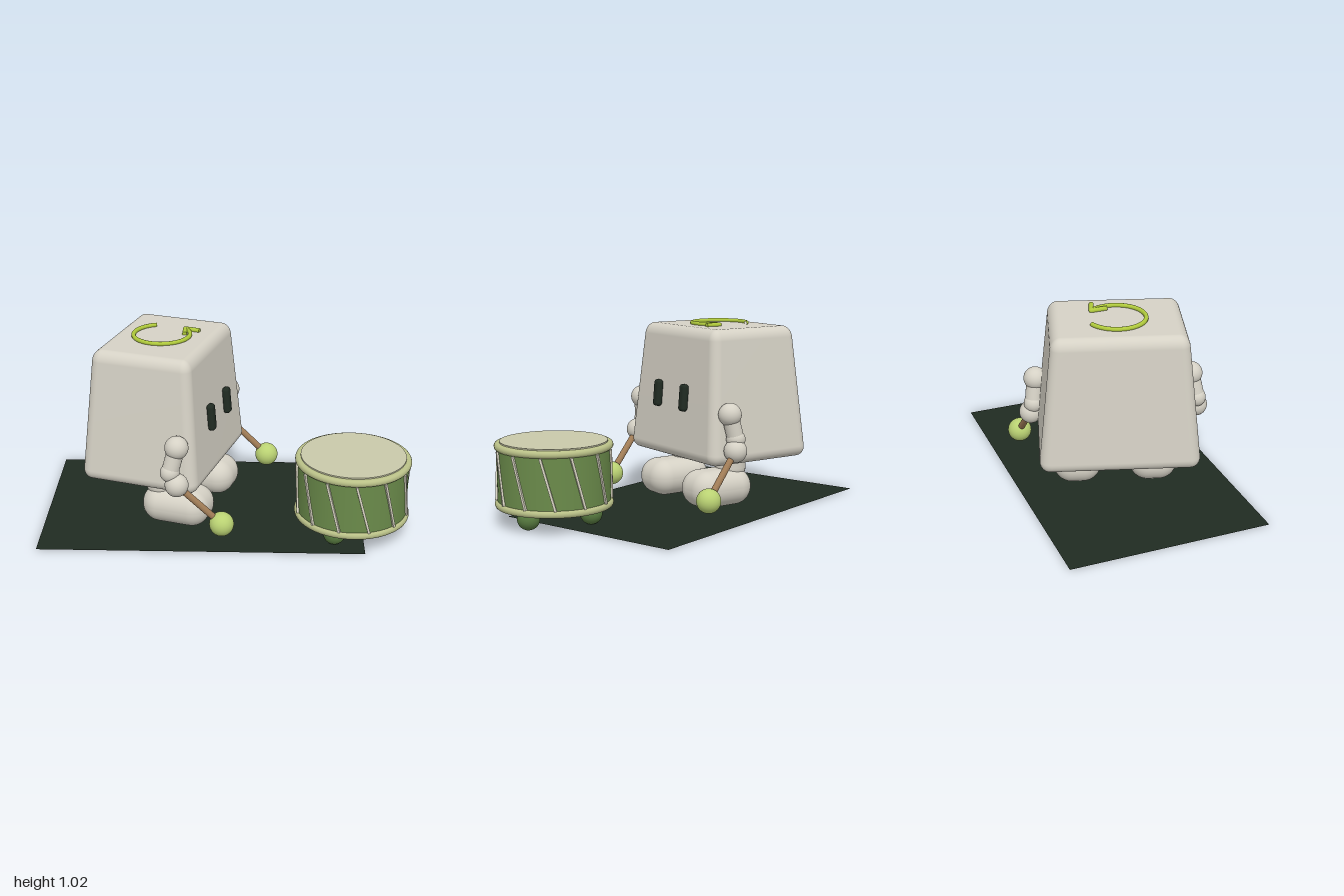
import * as THREE from 'three';
import { mergeVertices } from 'three/addons/utils/BufferGeometryUtils.js';
import { RoundedBoxGeometry } from 'three/addons/geometries/RoundedBoxGeometry.js';

const material = (name, color, side = THREE.FrontSide) => {
  const m = new THREE.MeshStandardMaterial({ color, side });
  m.name = name;
  return m;
};

const V = (x, y, z) => new THREE.Vector3(x, y, z);

export function createModel() {
  const shellWhite = material('warm white', 0xd5d1c5);
  const dark = material('dark green', 0x202b22, THREE.DoubleSide);
  const lime = material('lime', 0xb0ca3c);
  const ballGreen = material('pale lime', 0xbad273);
  const wood = material('wood', 0xa07c56);
  const drumGreen = material('drum green', 0x6a8a4a);
  const footGreen = material('foot green', 0x587b40);
  const rimTan = material('rim olive', 0xbac188);
  const skinPale = material('drum skin', 0xc9c9aa);
  const lacePale = material('lace cream', 0xd8d4c2);

  const model = new THREE.Group();
  model.name = 'drummingRobot';

  const add = (parent, name, geometry, mat, x = 0, y = 0, z = 0) => {
    const mesh = new THREE.Mesh(geometry, mat);
    mesh.name = name;
    mesh.position.set(x, y, z);
    parent.add(mesh);
    return mesh;
  };
  const ball = (parent, name, r, mat, p) =>
    add(parent, name, new THREE.SphereGeometry(r, 32, 20), mat, p.x, p.y, p.z);
  // Straight rod between two points
  const rod = (parent, name, a, b, r, mat) => {
    const d = b.clone().sub(a);
    const mesh = add(parent, name, new THREE.CylinderGeometry(r, r, d.length(), 24), mat);
    mesh.position.copy(a).add(b).multiplyScalar(0.5);
    mesh.quaternion.setFromUnitVectors(V(0, 1, 0), d.normalize());
    return mesh;
  };

  // Ground sheet
  add(model, 'groundSheet', new THREE.PlaneGeometry(1.75, 1.1).rotateX(-Math.PI / 2), dark, -0.125, 0.002, -0.015);

  // Robot, turned towards the drum
  const robot = new THREE.Group();
  robot.name = 'robot';
  robot.position.set(-0.345, 0, -0.058);
  robot.rotation.y = THREE.MathUtils.degToRad(72.4);
  model.add(robot);

  // Tapered rounded body
  const W = 0.84, D = 0.67, H = 0.73;
  let bodyGeo = new RoundedBoxGeometry(W, H, D, 6, 0.06);
  const pos = bodyGeo.attributes.position;
  for (let i = 0; i < pos.count; i++) {
    const t = pos.getY(i) / H + 0.5;
    pos.setX(i, pos.getX(i) * (1 - 0.178 * t));
    pos.setZ(i, pos.getZ(i) * (1 - 0.178 * t));
  }
  bodyGeo.deleteAttribute('normal');
  bodyGeo.deleteAttribute('uv');
  bodyGeo.clearGroups();
  bodyGeo = mergeVertices(bodyGeo, 1e-5);
  bodyGeo.computeVertexNormals();
  add(robot, 'body', bodyGeo, shellWhite, 0, 0.27 + H / 2, 0);

  // Eyes, legs and feet, one each side
  for (const s of [-1, 1]) {
    const side = s < 0 ? 'right' : 'left';
    const eye = add(robot, side + 'Eye', new RoundedBoxGeometry(0.055, 0.15, 0.04, 4, 0.018), dark, s * 0.125, 0.618, 0.322);
    eye.rotation.x = -0.082;
    add(robot, side + 'Leg', new THREE.CapsuleGeometry(0.086, 0.1, 10, 28), shellWhite, s * 0.207, 0.27, 0.06);
    add(robot, side + 'Foot', new RoundedBoxGeometry(0.26, 0.206, 0.38, 8, 0.1), shellWhite, s * 0.207, 0.115, 0.155);
  }

  // Circular arrow on the roof
  const arrow = new THREE.Group();
  arrow.name = 'roofArrow';
  arrow.position.set(-0.353, 1.007, -0.064);
  model.add(arrow);
  const start = THREE.MathUtils.degToRad(-36), sweep = THREE.MathUtils.degToRad(291);
  add(arrow, 'arrowRing', new THREE.TorusGeometry(0.153, 0.012, 12, 64, sweep).rotateZ(start).rotateX(Math.PI / 2), lime);
  const tip = V(0.123, 0, -0.09);
  rod(arrow, 'arrowBarb', tip, V(0.123, 0, -0.005), 0.013, lime);
  rod(arrow, 'arrowBarb', tip, V(0.202, 0, -0.06), 0.013, lime);
  ball(arrow, 'arrowTip', 0.013, lime, tip);

  // Arms with drumsticks
  const arms = {
    right: [V(-0.249, 0.555, 0.42), V(-0.285, 0.42, 0.44), V(-0.249, 0.355, 0.455), V(-0.013, 0.128, 0.455)],
    left: [V(0.0, 0.555, -0.393), V(-0.025, 0.42, -0.415), V(-0.008, 0.36, -0.425), V(0.225, 0.128, -0.42)],
  };
  for (const [side, [shoulder, elbow, hand, tipBall]] of Object.entries(arms)) {
    const arm = new THREE.Group();
    arm.name = side + 'Arm';
    model.add(arm);
    ball(arm, 'shoulder', 0.063, shellWhite, shoulder);
    rod(arm, 'upperArm', shoulder, elbow, 0.046, shellWhite);
    ball(arm, 'elbow', 0.052, shellWhite, elbow);
    ball(arm, 'hand', 0.063, shellWhite, hand);
    rod(arm, 'drumstick', hand, tipBall, 0.018, wood);
    ball(arm, 'drumstickTip', 0.066, ballGreen, tipBall);
  }

  // Drum
  const drum = new THREE.Group();
  drum.name = 'drum';
  drum.position.set(0.688, 0, 0.247);
  model.add(drum);
  add(drum, 'drumShell', new THREE.CylinderGeometry(0.298, 0.298, 0.3, 64), drumGreen, 0, 0.265, 0);

  // Rims: solid discs with a rounded edge
  const edge = [];
  for (let i = 0; i <= 8; i++) {
    const a = -Math.PI / 2 + (i / 8) * Math.PI;
    edge.push(new THREE.Vector2(0.296 + 0.016 * Math.cos(a), 0.019 * Math.sin(a)));
  }
  const rimProfile = [new THREE.Vector2(0, -0.019), new THREE.Vector2(0.29, -0.019), ...edge,
    new THREE.Vector2(0.29, 0.019), new THREE.Vector2(0, 0.019)];
  for (const [name, y] of [['bottomRim', 0.114], ['topRim', 0.421]])
    add(drum, name, new THREE.LatheGeometry(rimProfile, 64), rimTan, 0, y, 0);
  add(drum, 'drumSkin', new THREE.CylinderGeometry(0.283, 0.283, 0.012, 64), skinPale, 0, 0.441, 0);

  // Slanted laces around the shell
  for (let i = 0; i < 12; i++) {
    const pivot = new THREE.Group();
    pivot.name = 'lacePivot';
    pivot.rotation.y = THREE.MathUtils.degToRad(i * 30 + 7.2);
    drum.add(pivot);
    add(pivot, 'lace', new THREE.BoxGeometry(0.016, 0.282, 0.013), lacePale, 0.299, 0.267, 0).rotation.x = 0.27;
  }

  // Three ball feet
  for (let i = 0; i < 3; i++) {
    const a = (i * Math.PI * 2) / 3;
    ball(drum, 'drumFoot', 0.06, footGreen, V(0.196 * Math.cos(a), 0.06, 0.196 * Math.sin(a)));
  }
  return model;
}
